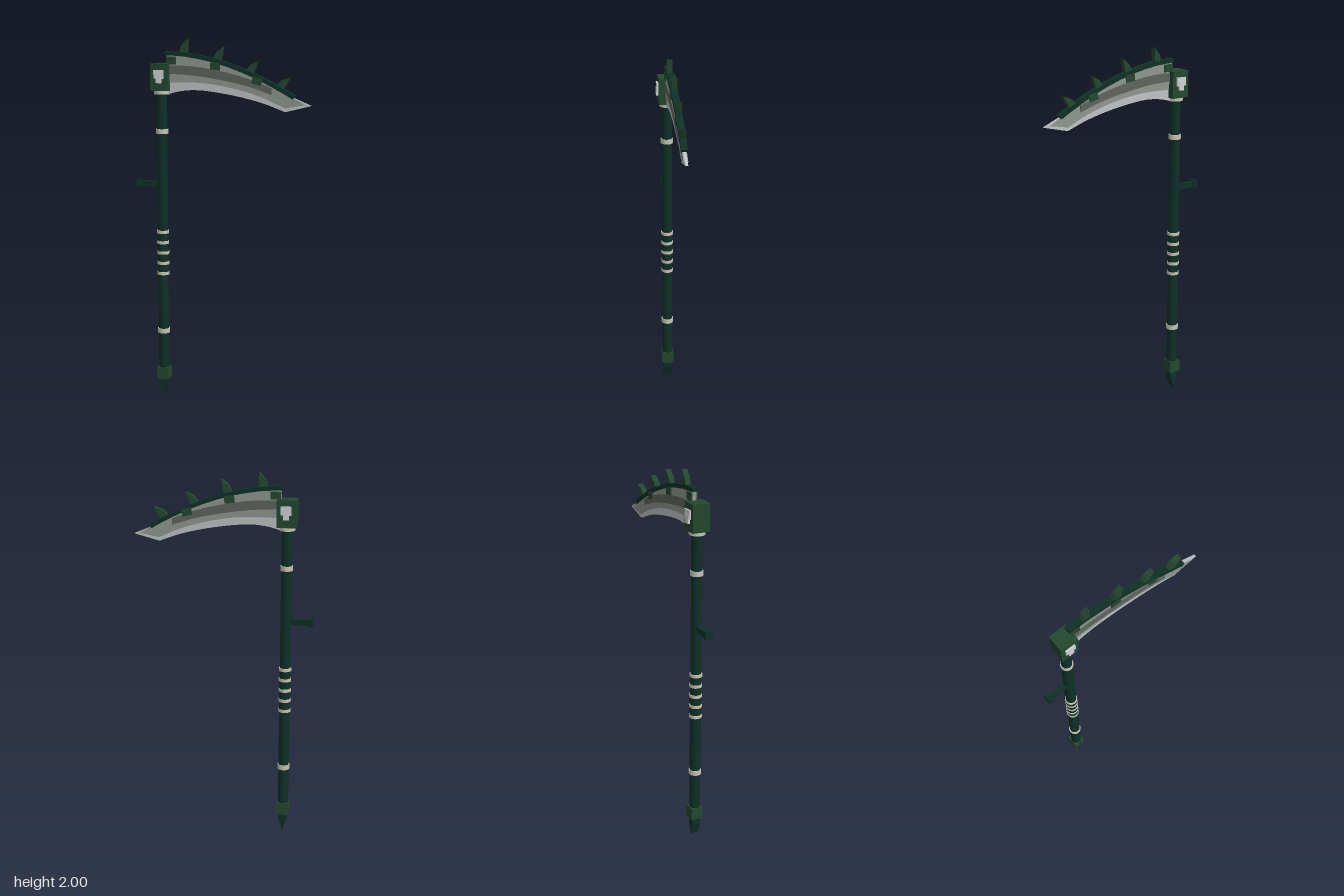
import * as THREE from 'three';

const mat = (name, color) => {
  const m = new THREE.MeshStandardMaterial({ color });
  m.name = name;
  return m;
};

export function createModel() {
  const root = new THREE.Group();
  root.name = 'scythe';
  const darkGreen = mat('dark green', 0x0e3026);
  const green = mat('mid green', 0x23472f);
  const bone = mat('bone', 0xc9c4b4);
  const steel = mat('steel', 0x8f978f);
  const darkSteel = mat('dark steel', 0x5f645f);
  const edgeSteel = mat('edge steel', 0xc0c4c6);
  const emblemGrey = mat('pale grey', 0xd0d2d4);
  const X = -0.343; // shaft axis

  const add = (name, geo, material, x = 0, y = 0, z = 0, rz = 0) => {
    const m = new THREE.Mesh(geo, material);
    m.name = name;
    m.position.set(x, y, z);
    m.rotation.z = rz;
    root.add(m);
    return m;
  };
  const box = (name, material, w, h, d, x, y, z = 0, rz = 0) =>
    add(name, new THREE.BoxGeometry(w, h, d), material, x, y, z, rz);
  const cyl = (name, material, r, h, x, y, sides = 12) =>
    add(name, new THREE.CylinderGeometry(r, r, h, sides), material, x, y);

  // Flat plate from an outline, centred on z
  const plate = (name, material, pts, half) => {
    const shape = new THREE.Shape(pts.map(([x, y]) => new THREE.Vector2(x, y)));
    const geo = new THREE.ExtrudeGeometry(shape, { depth: half * 2, bevelEnabled: false });
    geo.translate(0, 0, -half);
    return add(name, geo, material);
  };
  // Smooth run of points through a few given ones
  const curve = (pts, n = 12) =>
    new THREE.SplineCurve(pts.map(([x, y]) => new THREE.Vector2(x, y)))
      .getPoints(n).map((p) => [p.x, p.y]);

  // Shaft, wrapped grip and rings
  cyl('shaft', darkGreen, 0.029, 1.58, X, 0.93);
  cyl('grip', darkGreen, 0.031, 0.23, X, 0.825);
  for (const y of [0.38, 1.5]) cyl('shaftRing', bone, 0.034, 0.026, X, y);
  for (let i = 0; i < 5; i++) cyl('gripRing', bone, 0.034, 0.017, X, 0.71 + i * 0.0583);
  cyl('collar', bone, 0.042, 0.025, X, 1.713);

  // Pommel and foot spike
  box('pommel', green, 0.066, 0.067, 0.066, X, 0.134);
  plate('footSpike', darkGreen,
    [[X - 0.024, 0.105], [X - 0.021, 0.065], [X, 0], [X + 0.021, 0.065], [X + 0.024, 0.105]], 0.023);

  // Side handle
  box('handleBar', darkGreen, 0.12, 0.03, 0.028, -0.42, 1.209);
  box('handleCap', darkGreen, 0.022, 0.042, 0.042, -0.479, 1.209);

  // Head block with a stepped emblem on both faces
  box('headBlock', green, 0.1, 0.145, 0.094, X, 1.793);
  for (const s of [1, -1]) {
    box('emblemTop', emblemGrey, 0.056, 0.046, 0.012, X, 1.81, s * 0.05);
    box('emblemLower', emblemGrey, 0.03, 0.046, 0.016, X, 1.786, s * 0.051);
  }

  // Blade: thin cutting edge, thicker body, raised fuller
  const top = curve([[-0.31, 1.915], [-0.18, 1.91], [-0.02, 1.875], [0.165, 1.81], [0.32, 1.735], [0.39, 1.695]]);
  const lower = curve([[0.345, 1.62], [0.22, 1.665], [0.06, 1.702], [-0.12, 1.726], [-0.23, 1.72], [-0.31, 1.7]]);
  plate('cuttingEdge', edgeSteel, [...top, [0.485, 1.655], ...lower], 0.007);
  const bodyLower = curve([[0.345, 1.64], [0.22, 1.695], [0.06, 1.74], [-0.12, 1.766], [-0.31, 1.765]]);
  plate('bladeBody', steel, [...top, [0.45, 1.66], ...bodyLower], 0.012);
  const fullerTop = curve([[-0.31, 1.857], [-0.16, 1.853], [0.01, 1.826], [0.15, 1.79], [0.272, 1.745]]);
  const fullerLow = curve([[0.272, 1.71], [0.15, 1.75], [0.01, 1.78], [-0.16, 1.805], [-0.31, 1.812]]);
  plate('fuller', darkSteel, [...fullerTop, ...fullerLow], 0.0175);

  // Segmented spine along the back of the blade
  const spine = curve([[-0.315, 1.922], [-0.19, 1.913], [-0.02, 1.879], [0.165, 1.814], [0.32, 1.738], [0.39, 1.698]], 11);
  for (let i = 0; i < spine.length - 1; i++) {
    const [ax, ay] = spine[i], [bx, by] = spine[i + 1];
    box('spineSegment', darkGreen, Math.hypot(bx - ax, by - ay) + 0.006, 0.022, i < 9 ? 0.036 : 0.033,
      (ax + bx) / 2, (ay + by) / 2, 0, Math.atan2(by - ay, bx - ax));
  }

  // Clamps holding the spine
  for (const [x, y, r] of [[-0.283, 1.883, 0], [-0.037, 1.856, -0.1], [0.193, 1.782, -0.25]])
    box('clamp', green, 0.054, 0.04, 0.038, x, y, 0, r);

  // Hooked spikes leaning towards the tip
  const spikes = [[-0.217, 1.918, -0.02], [-0.03, 1.882, -0.18], [0.147, 1.818, -0.36], [0.313, 1.742, -0.5]];
  for (const [x, y, r] of spikes) {
    const s = plate('spike', green,
      [[-0.023, 0], [0.021, 0], [0.023, 0.036], [0.022, 0.082], [-0.01, 0.046]], 0.015);
    s.position.set(x, y, 0);
    s.rotation.z = r;
  }
  return root;
}
